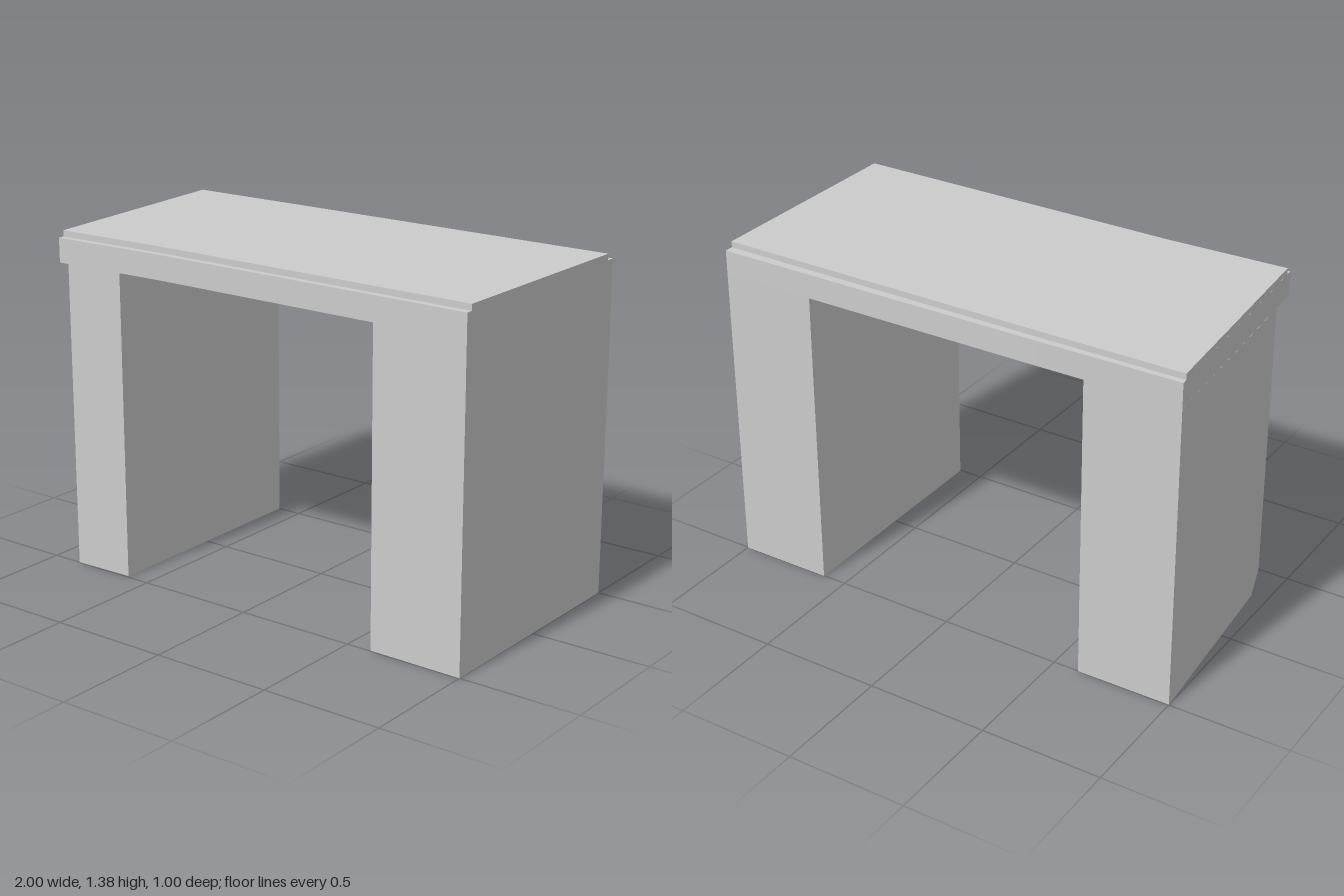
import * as THREE from 'three';

const material = new THREE.MeshStandardMaterial({ color: 0xcccccc, flatShading: true });

// Upright prism from a plan outline of [x, z] points between two heights
function prism(name, outline, bottom, top) {
  const shape = new THREE.Shape(outline.map(([x, z]) => new THREE.Vector2(x, -z)));
  const geometry = new THREE.ExtrudeGeometry(shape, { depth: top - bottom, bevelEnabled: false });
  geometry.rotateX(-Math.PI / 2).translate(0, bottom, 0);
  const mesh = new THREE.Mesh(geometry, material);
  mesh.name = name;
  return mesh;
}

export function createModel() {
  const group = new THREE.Group();
  group.name = 'archBlock';
  const soffit = 1.26, ledge = 1.36, top = 1.385;

  // Plain pier on the left
  group.add(prism('leftPier', [
    [0.603, 0.496], [1, 0.5], [1, -0.502], [0.603, -0.502],
  ], 0, soffit));

  // Skewed pier on the right, with its front outer corner cut off
  group.add(prism('rightPier', [
    [-0.87, 0.499], [-0.607, 0.491], [-0.607, -0.501], [-1, -0.498], [-0.932, 0.31],
  ], 0, soffit));

  // Deck spanning both piers, slightly kinked along its long edges
  group.add(prism('deck', [
    [-0.915, 0.5], [-0.41, 0.485], [1, 0.5], [1, -0.502], [-0.41, -0.502], [-1, -0.498],
  ], soffit, ledge));

  // Raised roof sheet, set back at the front and back
  group.add(prism('roofSheet', [
    [-0.917, 0.472], [-0.41, 0.458], [1, 0.472], [1, -0.465], [-0.41, -0.475], [-0.998, -0.475],
  ], ledge, top));

  return group;
}
